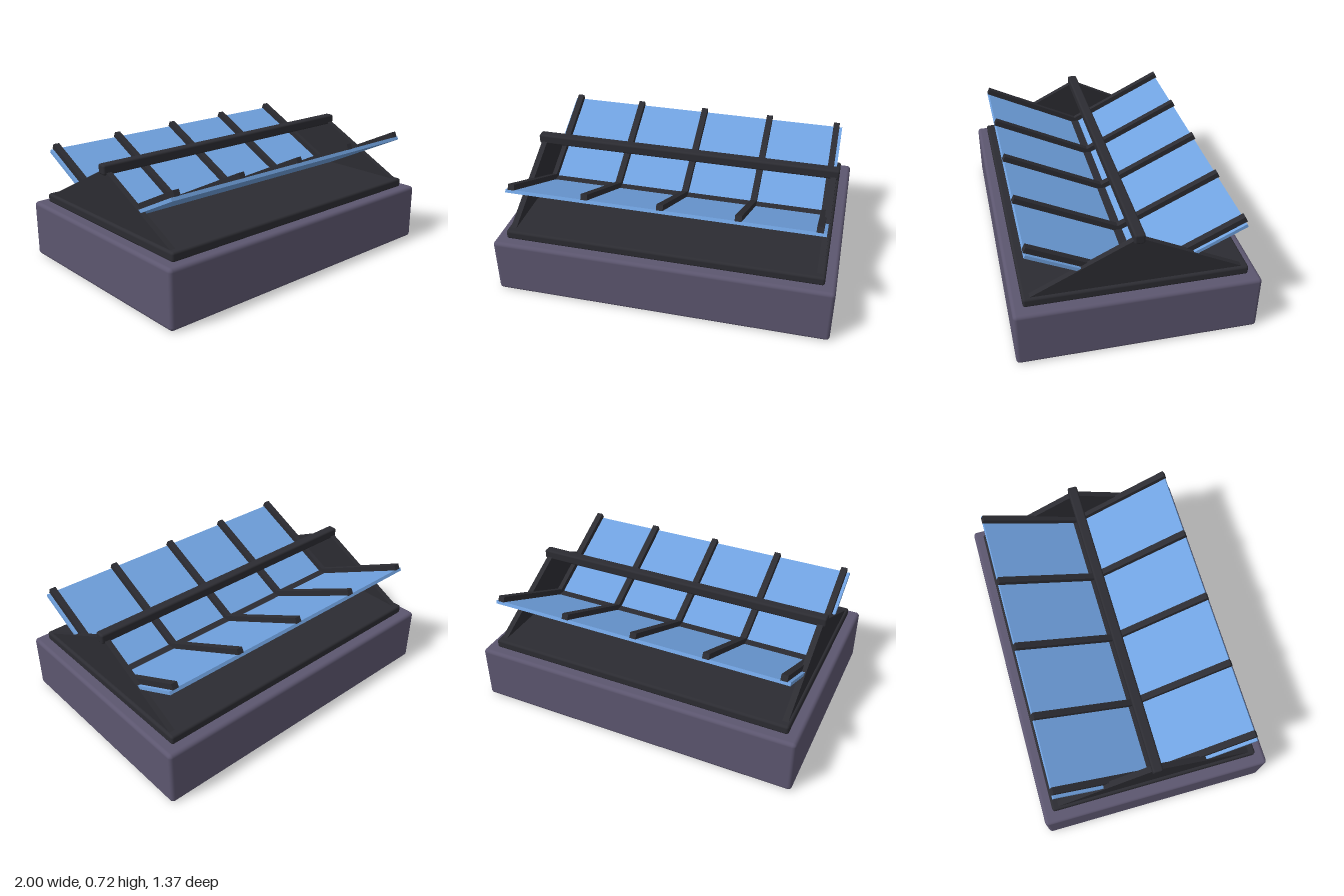
import * as THREE from 'three';
import { RoundedBoxGeometry } from 'three/addons/geometries/RoundedBoxGeometry.js';

const curbMat = new THREE.MeshStandardMaterial({ name: 'purple grey curb', color: 0x5c566f });
const frameMat = new THREE.MeshStandardMaterial({ name: 'dark frame', color: 0x2c2c32 });
const glassMat = new THREE.MeshStandardMaterial({ name: 'blue glass', color: 0x70a2e0 });

function add(parent, name, geometry, material, x = 0, y = 0, z = 0) {
  const mesh = new THREE.Mesh(geometry, material);
  mesh.name = name;
  mesh.position.set(x, y, z);
  parent.add(mesh);
  return mesh;
}

// Hinged sash: one glass sheet with five glazing bars on its upper side
function makeSash(name) {
  const pivot = new THREE.Group();
  pivot.name = name;
  const sash = new THREE.Group();
  sash.name = name + 'Tilt';
  sash.position.y = 0.385;
  sash.rotation.x = -Math.atan(0.492);
  const barLength = 0.669, glassLength = 0.66;
  add(sash, 'glass', new THREE.BoxGeometry(1.824, 0.02, glassLength), glassMat, 0, -0.01, glassLength / 2);
  for (let i = -2; i <= 2; i++) {
    add(sash, 'glazingBar', new THREE.BoxGeometry(0.038, 0.034, barLength), frameMat, i * 0.4375, 0.016, barLength / 2);
  }
  pivot.add(sash);
  return pivot;
}

export function createModel() {
  const model = new THREE.Group();
  model.name = 'skylight';

  // Curb and the dark sill on top of it
  add(model, 'curb', new RoundedBoxGeometry(2, 0.345, 1.374, 3, 0.022), curbMat, 0, 0.1725, 0);
  add(model, 'sill', new RoundedBoxGeometry(1.87, 0.055, 1.25, 3, 0.014), frameMat, 0, 0.37, 0);

  // Triangular gable ends
  const triangle = new THREE.Shape();
  triangle.moveTo(-0.6, 0.39);
  triangle.lineTo(0.6, 0.39);
  triangle.lineTo(0, 0.69);
  triangle.closePath();
  const gable = new THREE.ExtrudeGeometry(triangle, { depth: 0.034, bevelEnabled: false });
  gable.translate(0, 0, -0.017);
  gable.rotateY(Math.PI / 2);
  for (const side of [-1, 1]) {
    add(model, side > 0 ? 'leftGable' : 'rightGable', gable, frameMat, side * 0.902, 0, 0);
  }

  // Ridge beam
  add(model, 'ridgeBeam', new RoundedBoxGeometry(1.87, 0.06, 0.06, 3, 0.012), frameMat, 0, 0.69, 0);

  // Front and back sashes, both swung open
  const front = makeSash('frontSash');
  const back = makeSash('backSash');
  back.rotation.y = Math.PI;
  model.add(front, back);
  return model;
}
